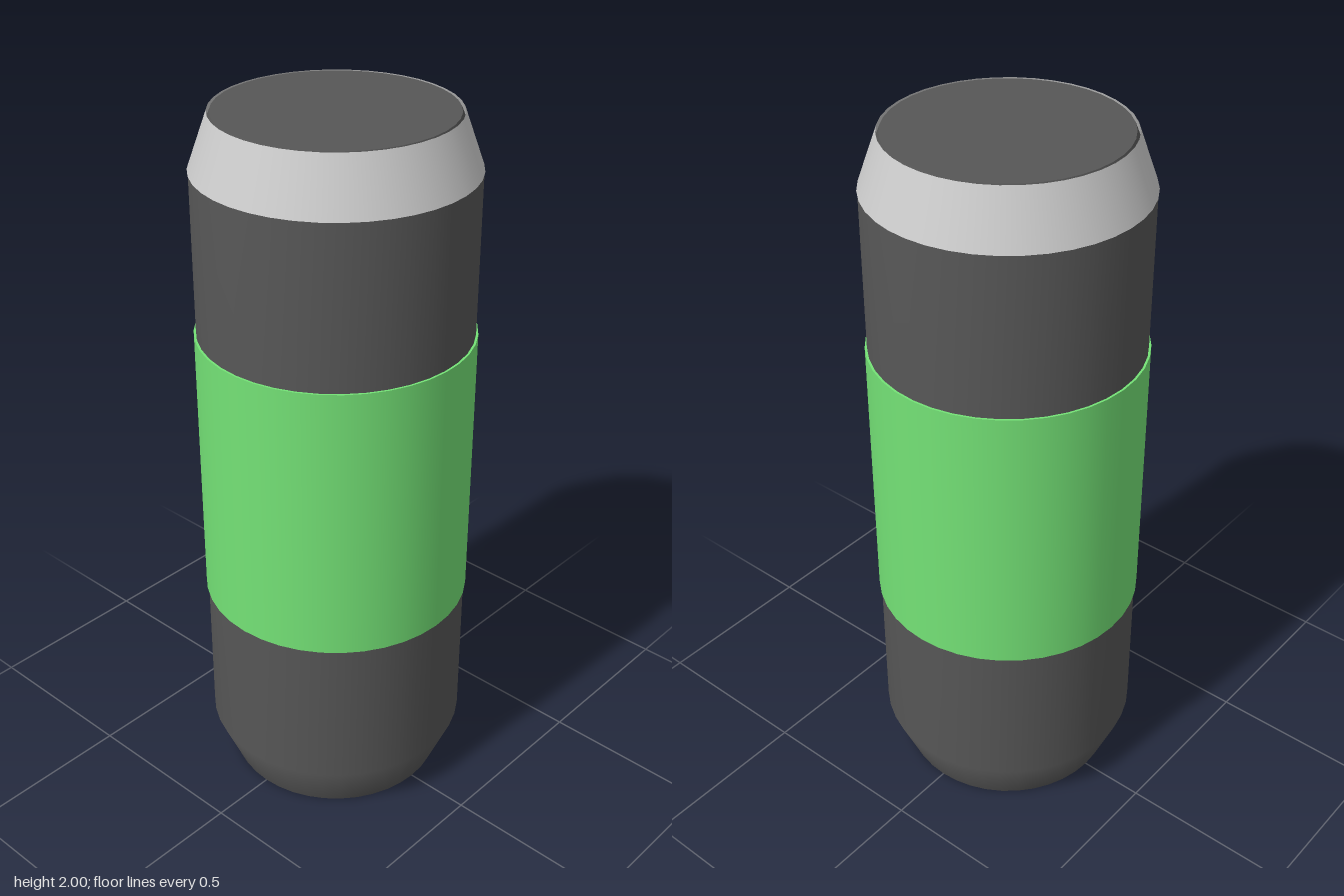
import * as THREE from 'three';

const SEGMENTS = 40;

export function createModel() {
  const mat = (name, color, side = THREE.FrontSide) => {
    const m = new THREE.MeshStandardMaterial({ color, side });
    m.name = name;
    return m;
  };
  const charcoal = mat('charcoal', 0x575757);
  const green = mat('green', 0x74e276);
  const silver = mat('silver', 0xcccccc, THREE.DoubleSide);

  const group = new THREE.Group();
  group.name = 'canister';
  const add = (name, geometry, material) => {
    const mesh = new THREE.Mesh(geometry, material);
    mesh.name = name;
    group.add(mesh);
    return mesh;
  };
  const lathe = (points) =>
    new THREE.LatheGeometry(points.map(([r, y]) => new THREE.Vector2(r, y)), SEGMENTS);

  // Body with smoothly shaded, tapered ends
  add('body', lathe([[0.31, 0], [0.373, 0.15], [0.373, 1.85], [0.313, 2]]), charcoal);

  // Flat end discs
  const top = add('topDisc', new THREE.CircleGeometry(0.313, SEGMENTS), charcoal);
  top.rotation.x = -Math.PI / 2;
  top.position.y = 2;
  const bottom = add('bottomDisc', new THREE.CircleGeometry(0.31, SEGMENTS), charcoal);
  bottom.rotation.x = Math.PI / 2;

  // Wide band around the middle, with narrow ledges standing proud of the body
  const band = add('middleBand', new THREE.CylinderGeometry(0.379, 0.379, 0.8, SEGMENTS), green);
  band.position.y = 1;

  // Thin open collar over the upper taper
  add('topCollar', lathe([[0.375, 1.85], [0.321, 2]]), silver);

  return group;
}
